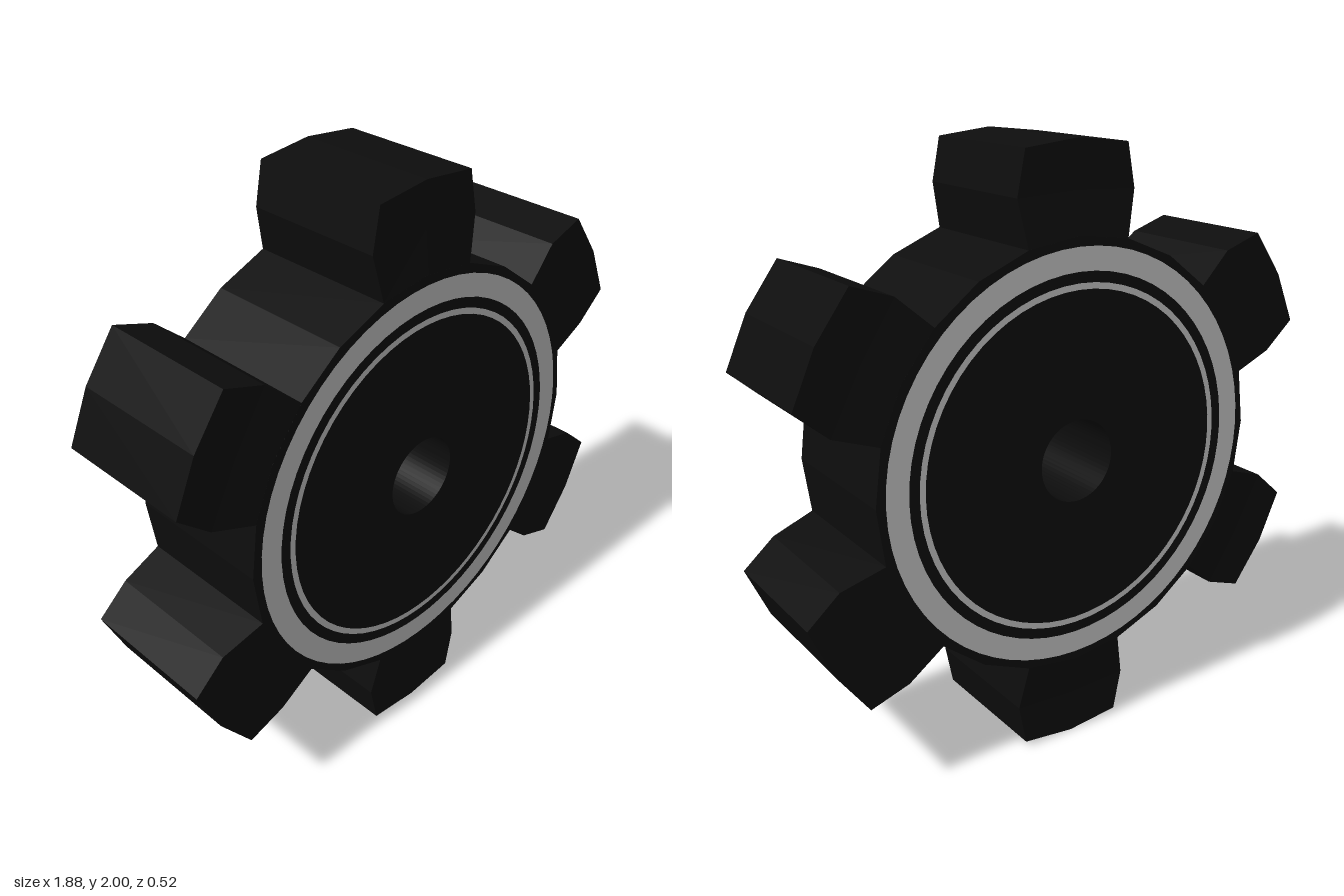
import * as THREE from 'three';

const black = new THREE.MeshStandardMaterial({ color: 0x0d0d0d });
black.name = 'black rubber';
const grey = new THREE.MeshStandardMaterial({ color: 0xcbcbcb });
grey.name = 'light grey';

const HALF = 0.257;

// 24-sided drum with a round bore
function coreGeometry() {
  const shape = new THREE.Shape();
  for (let i = 0; i < 24; i++) {
    const a = (i * Math.PI) / 12;
    const x = 0.715 * Math.cos(a), y = 0.715 * Math.sin(a);
    if (i) shape.lineTo(x, y);
    else shape.moveTo(x, y);
  }
  shape.closePath();
  const bore = new THREE.Path();
  bore.absarc(0, 0, 0.137, 0, Math.PI * 2, true);
  shape.holes.push(bore);
  const g = new THREE.ExtrudeGeometry(shape, { depth: 2 * HALF, bevelEnabled: false, curveSegments: 32 });
  return g.translate(0, 0, -HALF);
}

// Tooth pointing up, lofted through rows of six points, flat shaded
function toothGeometry() {
  // half width, side height, middle height, half depth
  const rows = [
    [0.185, 0.69, 0.712, HALF],
    [0.215, 0.84, 0.85, 0.242],
    [0.187, 0.98, 1.0, 0.242],
  ];
  const pos = [];
  const index = [];
  for (const [w, ySide, yMid, d] of rows) {
    pos.push(-w, ySide, d, 0, yMid, d, w, ySide, d);
    pos.push(w, ySide, -d, 0, yMid, -d, -w, ySide, -d);
  }
  for (let r = 0; r < 2; r++) {
    for (let i = 0; i < 6; i++) {
      const a = r * 6 + i, b = r * 6 + ((i + 1) % 6);
      index.push(a, b, b + 6, a, b + 6, a + 6);
    }
  }
  // Tip: two gently pitched faces
  index.push(12, 13, 16, 12, 16, 17, 13, 14, 15, 13, 15, 16);
  const g = new THREE.BufferGeometry();
  g.setAttribute('position', new THREE.Float32BufferAttribute(pos, 3));
  g.setIndex(index);
  const flat = g.toNonIndexed();
  flat.computeVertexNormals();
  return flat;
}

export function createModel() {
  const model = new THREE.Group();
  model.name = 'toothedWheel';
  const wheel = new THREE.Group();
  wheel.name = 'wheel';
  wheel.position.y = 1;
  model.add(wheel);

  const add = (name, geometry, material) => {
    const mesh = new THREE.Mesh(geometry, material);
    mesh.name = name;
    wheel.add(mesh);
    return mesh;
  };

  add('core', coreGeometry(), black);

  // Six teeth around the drum
  const tooth = toothGeometry();
  for (let i = 0; i < 6; i++) {
    add('tooth', tooth, black).rotation.z = (i * Math.PI) / 3;
  }

  // Painted rings on both faces
  const bands = [['wideRing', 0.608, 0.684], ['thinRing', 0.553, 0.573]];
  for (const [name, inner, outer] of bands) {
    const ring = new THREE.RingGeometry(inner, outer, 64);
    add(name + 'Front', ring, grey).position.z = HALF + 0.003;
    const back = add(name + 'Back', ring, grey);
    back.position.z = -HALF - 0.003;
    back.rotation.y = Math.PI;
  }
  return model;
}
